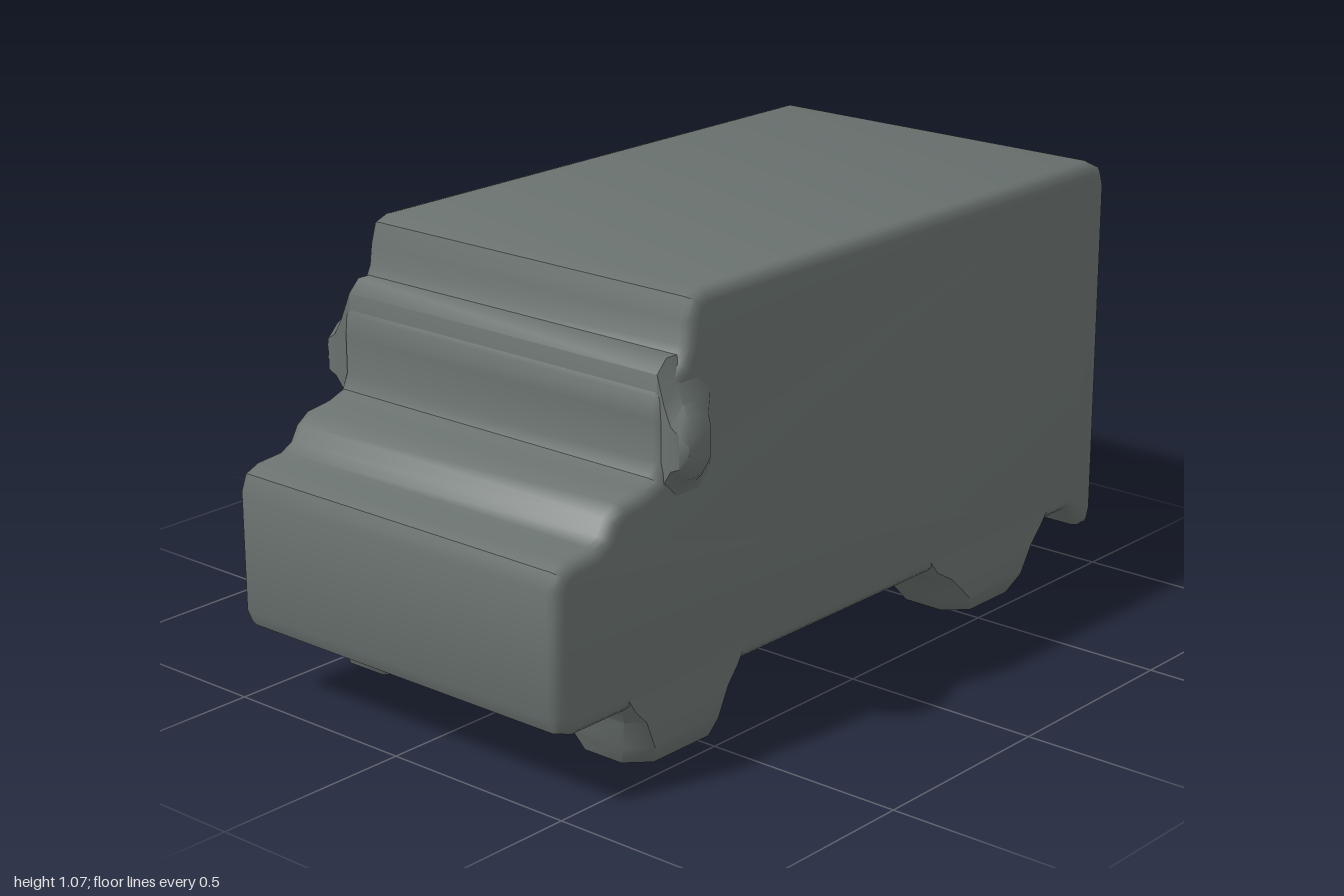
import * as THREE from 'three';
import { toCreasedNormals } from 'three/addons/utils/BufferGeometryUtils.js';

// Loft chamfered rectangles along an axis (0 = x, 1 = y, 2 = z).
// Each section is [t, a0, a1, b0, b1, chamfer]; a and b are the next two axes in cyclic order.
function loft(axis, sections) {
  const pos = [], index = [], n = 8;
  const put = (t, a, b) => {
    const p = [0, 0, 0];
    p[axis] = t; p[(axis + 1) % 3] = a; p[(axis + 2) % 3] = b;
    pos.push(...p);
  };
  for (const [t, a0, a1, b0, b1, c] of sections) {
    [[a1, b0 + c], [a1, b1 - c], [a1 - c, b1], [a0 + c, b1],
      [a0, b1 - c], [a0, b0 + c], [a0 + c, b0], [a1 - c, b0]].forEach(([a, b]) => put(t, a, b));
  }
  const last = (sections.length - 1) * n;
  for (let r = 0; r < last; r += n) {
    for (let i = 0; i < n; i++) {
      const j = (i + 1) % n;
      index.push(r + i, r + j, r + n + j, r + i, r + n + j, r + n + i);
    }
  }
  for (let i = 1; i < n - 1; i++) {
    index.push(0, i + 1, i, last, last + i, last + i + 1);
  }
  const g = new THREE.BufferGeometry();
  g.setAttribute('position', new THREE.Float32BufferAttribute(pos, 3));
  g.setIndex(index);
  return toCreasedNormals(g, 0.8);
}

export function createModel() {
  const model = new THREE.Group();
  model.name = 'van';
  const paint = new THREE.MeshStandardMaterial({ color: 0x69716f });
  paint.name = 'grey';
  const add = (name, geometry) => {
    const mesh = new THREE.Mesh(geometry, paint);
    mesh.name = name;
    model.add(mesh);
  };

  // Body: side profile (z, y) extruded across the width with softened edges
  const profile = [
    [-0.94, 1.065], [0.52, 1.065], [0.56, 1.05], [0.575, 1.0], [0.582, 0.95], [0.6, 0.915],
    [0.64, 0.89], [0.66, 0.85], [0.665, 0.8], [0.665, 0.71], [0.68, 0.675], [0.72, 0.66],
    [0.79, 0.65], [0.825, 0.625], [0.845, 0.59], [0.875, 0.573], [0.945, 0.567], [0.985, 0.55],
    [1, 0.51], [1, 0.22], [0.985, 0.185], [0.945, 0.17], [-0.885, 0.17], [-0.92, 0.14],
    [-0.95, 0.108], [-0.985, 0.108], [-1, 0.15], [-1, 1.0], [-0.985, 1.045],
  ].map(([z, y]) => new THREE.Vector2(z, y));
  const half = 0.494, bevel = 0.03;
  const body = new THREE.ExtrudeGeometry(new THREE.Shape(profile), {
    depth: 2 * (half - bevel), bevelThickness: bevel, bevelSize: bevel,
    bevelOffset: -bevel, bevelSegments: 3,
  });
  body.translate(0, 0, bevel - half).rotateY(-Math.PI / 2);
  add('body', toCreasedNormals(body, 0.7));

  // Windscreen bar swelling into a mirror on both sides
  const swell = [
    [0.47, 0.57, 0.93, 0.48, 0.655, 0.03],
    [0.494, 0.625, 0.875, 0.51, 0.66, 0.04],
    [0.515, 0.655, 0.835, 0.54, 0.663, 0.04],
    [0.538, 0.675, 0.81, 0.56, 0.663, 0.03],
    [0.555, 0.715, 0.775, 0.58, 0.65, 0.02],
  ];
  const flipped = swell.map(([x, ...rest]) => [-x, ...rest]).reverse();
  add('mirrors', loft(0, [...flipped, ...swell]));

  // Wheels: blocky lobes, sections [y, z rear, z front, x inner, x outer, chamfer]
  const wheels = {
    front: [
      [0, 0.47, 0.69, 0.31, 0.44, 0.04],
      [0.018, 0.445, 0.73, 0.27, 0.478, 0.05],
      [0.06, 0.43, 0.742, 0.245, 0.494, 0.05],
      [0.13, 0.41, 0.755, 0.22, 0.494, 0.035],
      [0.165, 0.395, 0.775, 0.2, 0.494, 0.02],
      [0.22, 0.36, 0.81, 0.17, 0.494, 0.02],
    ],
    rear: [
      [0, -0.64, -0.48, 0.31, 0.44, 0.04],
      [0.018, -0.695, -0.445, 0.27, 0.478, 0.05],
      [0.06, -0.735, -0.42, 0.245, 0.494, 0.05],
      [0.13, -0.765, -0.36, 0.22, 0.494, 0.035],
      [0.165, -0.785, -0.315, 0.2, 0.494, 0.02],
      [0.22, -0.83, -0.27, 0.17, 0.494, 0.02],
    ],
  };
  for (const [end, rows] of Object.entries(wheels)) {
    add(end + 'LeftWheel', loft(1, rows));
    add(end + 'RightWheel', loft(1, rows.map(([y, z0, z1, x0, x1, c]) => [y, z0, z1, -x1, -x0, c])));
  }

  // Axles: bars under the floor, flaring where they meet the wheels
  for (const [name, z] of [['frontAxle', 0.59], ['rearAxle', -0.58]]) {
    add(name, loft(0, [
      [-0.3, 0.05, 0.24, z - 0.12, z + 0.12, 0.04],
      [-0.19, 0.086, 0.24, z - 0.085, z + 0.085, 0.035],
      [0.19, 0.086, 0.24, z - 0.085, z + 0.085, 0.035],
      [0.3, 0.05, 0.24, z - 0.12, z + 0.12, 0.04],
    ]));
  }
  return model;
}
